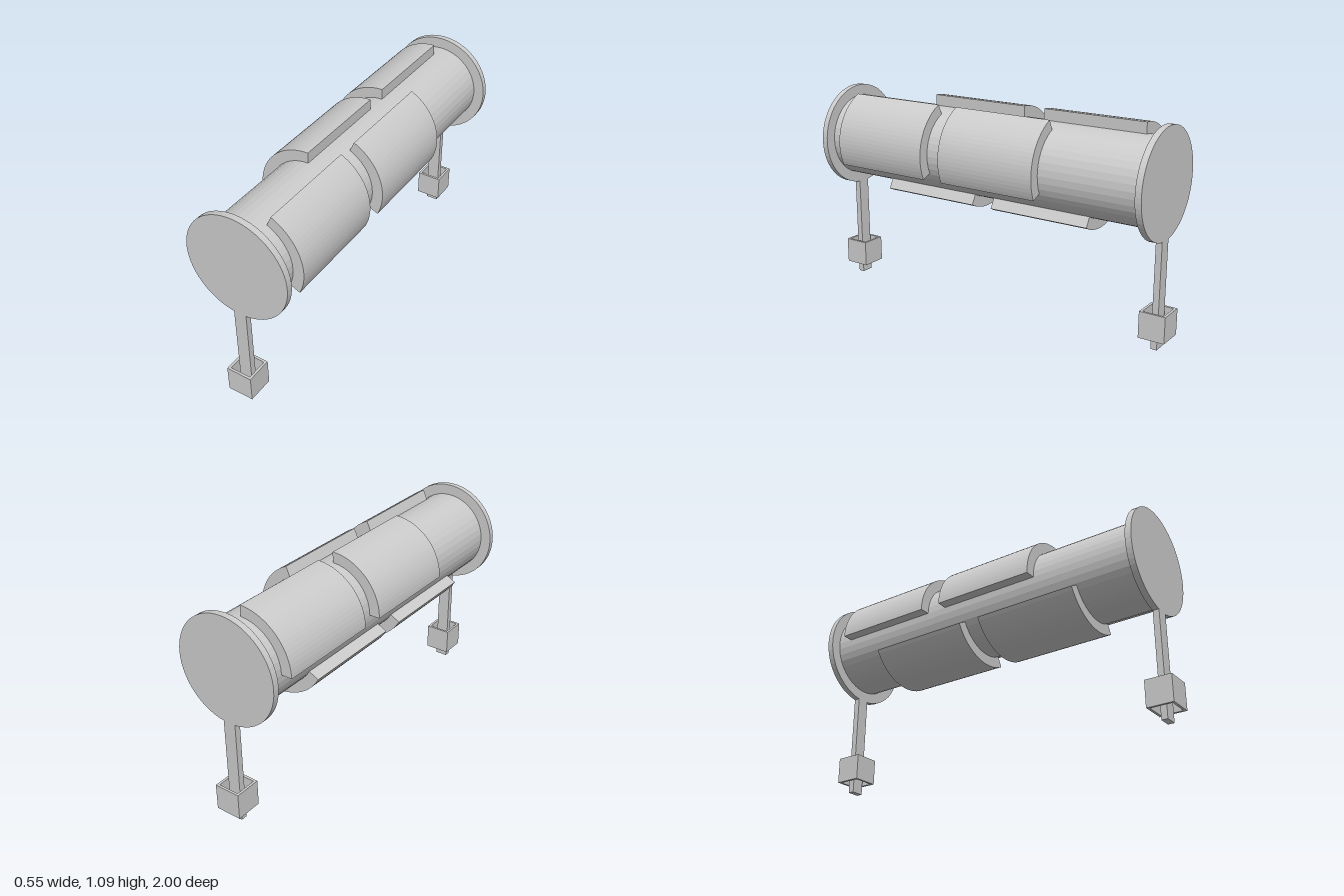
import * as THREE from 'three';

const material = new THREE.MeshStandardMaterial({ color: 0xcccccc, flatShading: true });
const AXIS_Y = 0.816, DRUM_R = 0.218, RIM_R = 0.274;

function add(parent, name, geometry, x = 0, y = 0, z = 0) {
  const mesh = new THREE.Mesh(geometry, material);
  mesh.name = name;
  mesh.position.set(x, y, z);
  parent.add(mesh);
  return mesh;
}

// Curved plate wrapped on the drum, angles in degrees counted from +x
function plateGeometry(start, end, length) {
  const a = THREE.MathUtils.degToRad(start), b = THREE.MathUtils.degToRad(end);
  const shape = new THREE.Shape();
  shape.absarc(0, 0, RIM_R, a, b, false);
  shape.absarc(0, 0, DRUM_R - 0.002, b, a, true);
  shape.closePath();
  return new THREE.ExtrudeGeometry(shape, { depth: length, bevelEnabled: false, curveSegments: 10 });
}

// Square sleeve, open at top and bottom
function sleeveGeometry(size, wall, height) {
  const square = (path, h) => path.moveTo(-h, -h).lineTo(h, -h).lineTo(h, h).lineTo(-h, h).closePath();
  const shape = square(new THREE.Shape(), size / 2);
  shape.holes.push(square(new THREE.Path(), size / 2 - wall));
  return new THREE.ExtrudeGeometry(shape, { depth: height, bevelEnabled: false }).rotateX(-Math.PI / 2);
}

export function createModel() {
  const model = new THREE.Group();
  model.name = 'rollerOnStands';

  // Drum and its staggered raised plates
  const roller = new THREE.Group();
  roller.name = 'roller';
  roller.position.y = AXIS_Y;
  model.add(roller);
  add(roller, 'drum', new THREE.CylinderGeometry(DRUM_R, DRUM_R, 1.84, 40).rotateX(Math.PI / 2));

  const rows = [
    { name: 'leftPlate', start: -25, end: 65.5, z: [0.278, -0.382] },
    { name: 'rightPlate', start: 90, end: 180, z: [-0.83, -0.168] },
    { name: 'lowerPlate', start: 209, end: 299, z: [0.058, -0.605] },
  ];
  for (const row of rows) {
    for (const z of row.z) add(roller, row.name, plateGeometry(row.start, row.end, 0.549), 0, 0, z);
  }

  // End discs, legs and foot sleeves, mirrored front to back
  for (const [side, s] of [['front', 1], ['back', -1]]) {
    const z = 0.933 * s;
    add(roller, side + 'Disc', new THREE.CylinderGeometry(RIM_R, RIM_R, 0.032, 64).rotateX(Math.PI / 2), 0, 0, z);
    add(model, side + 'Leg', new THREE.BoxGeometry(0.067, 0.56, 0.032), -0.001, 0.28, z);
    add(model, side + 'FootSleeve', sleeveGeometry(0.136, 0.013, 0.136), -0.001, 0.058, 0.932 * s);
  }
  return model;
}
